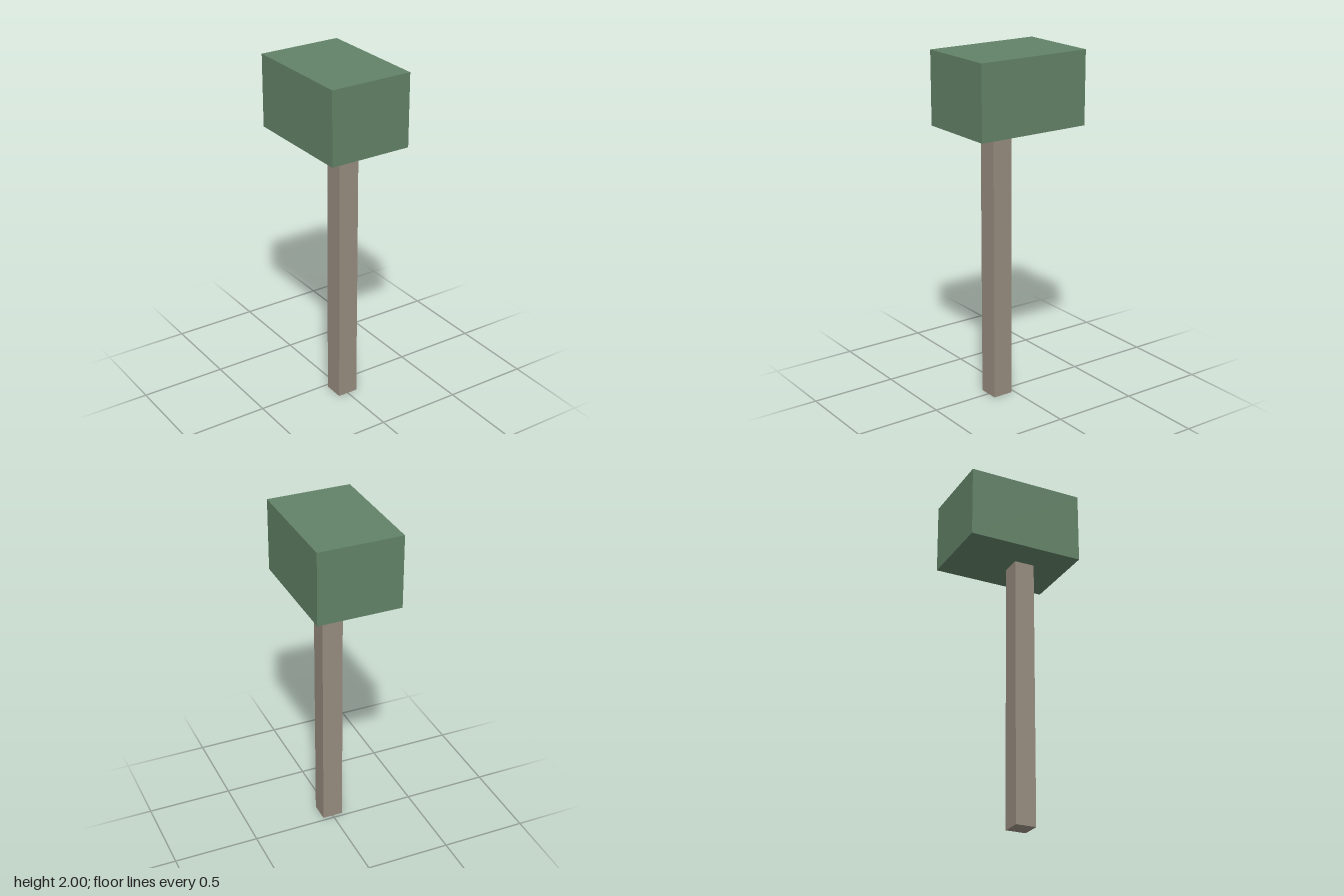
import * as THREE from 'three';

// Flat-shaded box spanning y0..y1, centred on x = 0
function block(name, color, width, depth, y0, y1, z) {
  const mesh = new THREE.Mesh(
    new THREE.BoxGeometry(width, y1 - y0, depth),
    new THREE.MeshStandardMaterial({ color, flatShading: true })
  );
  mesh.name = name;
  mesh.position.set(0, (y0 + y1) / 2, z);
  return mesh;
}

export function createModel() {
  const model = new THREE.Group();
  model.name = 'blockTree';
  // Square trunk, set forward of the centre
  model.add(block('trunk', 0x978c7f, 0.122, 0.12, 0, 1.58, 0.08));
  // Box-shaped foliage on top
  model.add(block('foliage', 0x628267, 0.485, 0.682, 1.58, 2, 0));
  return model;
}
